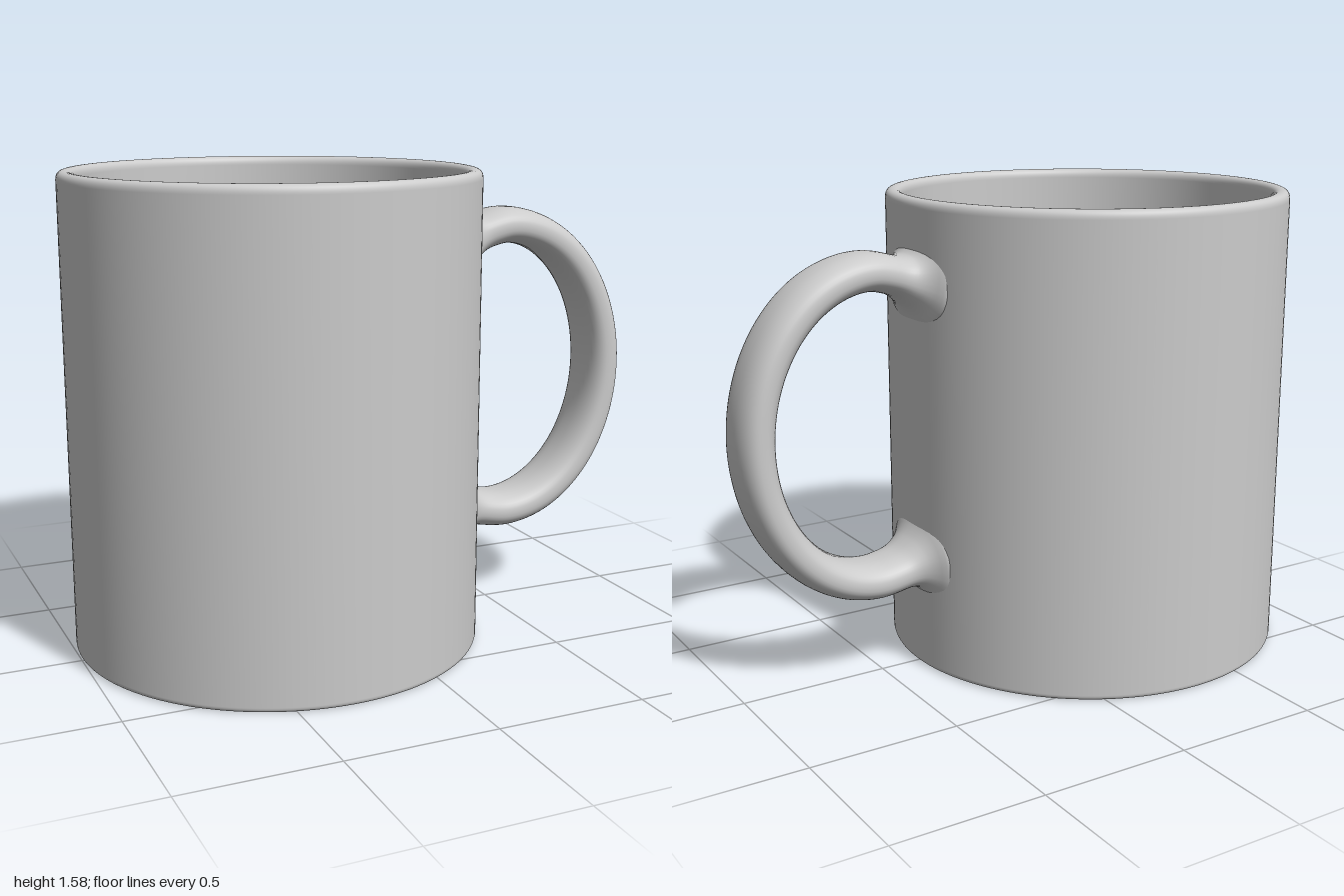
import * as THREE from 'three';

const material = new THREE.MeshStandardMaterial({ color: 0xcccccc });
const CX = -0.317, R = 0.683, H = 1.58, INNER = 0.628;

// Lathed cup: softly recessed foot, outer wall, rounded rim, inner wall, filleted floor
function makeCup() {
  const p = new THREE.Path();
  p.moveTo(0, 0.02);
  p.lineTo(0.44, 0.02);
  p.bezierCurveTo(0.53, 0.02, 0.54, 0, 0.62, 0);
  p.lineTo(R - 0.018, 0);
  p.quadraticCurveTo(R, 0, R, 0.018);
  p.lineTo(R, H - 0.03);
  p.quadraticCurveTo(R, H, R - 0.028, H);
  p.quadraticCurveTo(INNER, H, INNER, H - 0.03);
  p.lineTo(INNER, 0.19);
  p.quadraticCurveTo(INNER, 0.08, 0.52, 0.08);
  p.lineTo(0, 0.08);
  const cup = new THREE.Mesh(new THREE.LatheGeometry(p.getPoints(10), 128), material);
  cup.name = 'cup';
  cup.position.x = CX;
  return cup;
}

// Loop handle: rounded oval section swept along a curve, flaring into the wall
function makeHandle() {
  const path = [[0.325, 1.32], [0.385, 1.328]];
  for (let i = 0; i <= 12; i++) {
    const a = Math.PI / 2 - (i / 12) * Math.PI;
    path.push([0.53 + 0.406 * Math.cos(a), 0.851 + 0.511 * Math.sin(a)]);
  }
  path.push([0.385, 0.365], [0.325, 0.37]);
  const curve = new THREE.CatmullRomCurve3(path.map(([x, y]) => new THREE.Vector3(x, y, 0)));

  const rings = 180, sides = 40, pos = [], index = [];
  const round = (v) => Math.sign(v) * Math.abs(v) ** 0.85;
  for (let i = 0; i <= rings; i++) {
    const c = curve.getPointAt(i / rings), t = curve.getTangentAt(i / rings);
    const flare = THREE.MathUtils.clamp((0.47 - c.x) / 0.12, 0, 1.08) ** 3;
    const thick = 0.063 + 0.07 * flare, wide = 0.11 + 0.065 * flare;
    for (let j = 0; j < sides; j++) {
      const a = (j / sides) * Math.PI * 2;
      const u = thick * round(Math.cos(a)), w = wide * round(Math.sin(a));
      pos.push(c.x - t.y * u, c.y + t.x * u, w);
      if (i < rings) {
        const k = (j + 1) % sides, p = i * sides, q = p + sides;
        index.push(p + j, p + k, q + j, p + k, q + k, q + j);
      }
    }
  }
  const geo = new THREE.BufferGeometry();
  geo.setAttribute('position', new THREE.Float32BufferAttribute(pos, 3));
  geo.setIndex(index);
  geo.computeVertexNormals();
  const handle = new THREE.Mesh(geo, material);
  handle.name = 'handle';
  return handle;
}

export function createModel() {
  const mug = new THREE.Group();
  mug.name = 'mug';
  mug.add(makeCup(), makeHandle());
  return mug;
}
